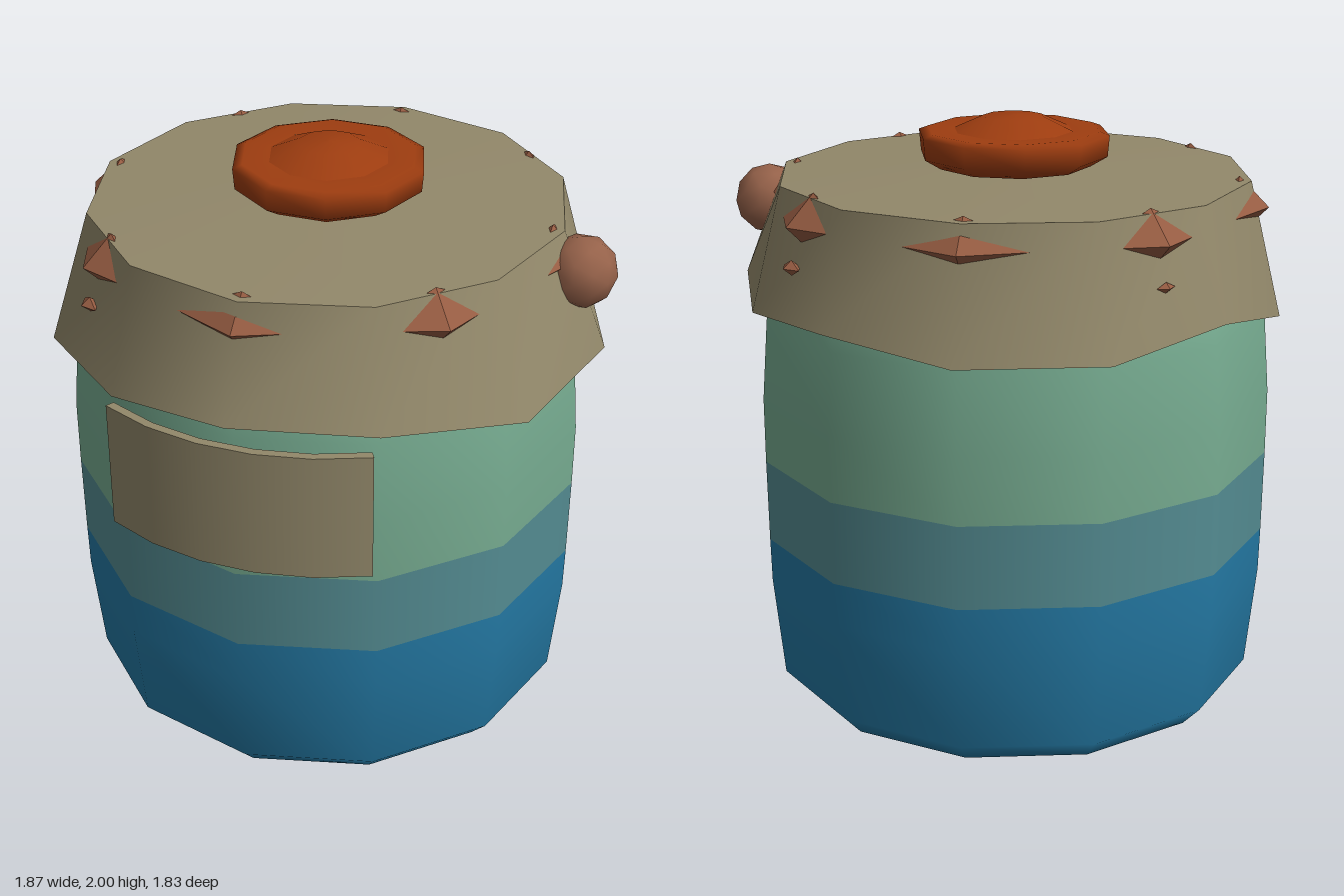
import * as THREE from 'three';
import { toCreasedNormals } from 'three/addons/utils/BufferGeometryUtils.js';

const CX = -0.035, CZ = -0.02; // jar axis

function mat(name, color, side = THREE.FrontSide) {
  const m = new THREE.MeshStandardMaterial({ color, side });
  m.name = name;
  return m;
}

export function createModel() {
  const blue = mat('deep blue glaze', 0x2479a4);
  const teal = mat('teal glaze', 0x548c92);
  const green = mat('sea green glaze', 0x76ab90);
  const tan = mat('tan cloth', 0x92886a, THREE.DoubleSide);
  const rust = mat('rust orange', 0x9e3d10);
  const brown = mat('bead brown', 0x96624a);
  const clay = mat('stud brown', 0x965c42);

  const model = new THREE.Group();
  model.name = 'jar';
  const jar = new THREE.Group();
  jar.name = 'jarParts';
  jar.position.set(CX, 0, CZ);
  model.add(jar);

  const add = (name, geo, material, parent = jar) => {
    const mesh = new THREE.Mesh(geo, material);
    mesh.name = name;
    parent.add(mesh);
    return mesh;
  };
  const lathe = (pts, sides, start = 0, len = Math.PI * 2) =>
    new THREE.LatheGeometry(pts.map(p => new THREE.Vector2(...p)), sides, start, len);

  // Body in three glaze bands
  add('lowerBody', lathe([[0, 0], [0.56, 0.005], [0.765, 0.03], [0.83, 0.1], [0.865, 0.45], [0.868, 0.6]], 12), blue);
  add('middleBand', lathe([[0.868, 0.6], [0.871, 0.88]], 12), teal);
  add('upperBody', lathe([[0.871, 0.88], [0.871, 1.1], [0.85, 1.37], [0.81, 1.52], [0.74, 1.65]], 12), green);

  // Cloth cover: flat top and a flared skirt with an uneven hem
  add('clothTop', lathe([[0.79, 1.81], [0.3, 1.83], [0, 1.832]], 12), tan);
  const hem = [ // x, y, z every 30 degrees, starting at the front
    [-0.03, 1.455, 0.91], [0.42, 1.44, 0.78], [0.785, 1.38, 0.45], [0.91, 1.42, -0.02],
    [0.74, 1.4, -0.47], [0.41, 1.44, -0.8], [-0.03, 1.39, -0.92], [-0.5, 1.4, -0.82],
    [-0.8, 1.45, -0.47], [-0.935, 1.36, -0.02], [-0.84, 1.365, 0.44], [-0.48, 1.385, 0.75],
  ];
  const skirt = new THREE.CylinderGeometry(0.79, 0.93, 0.4, 12, 1, true);
  skirt.translate(0, 1.61, 0);
  for (let i = 0; i <= 12; i++) {
    const [x, y, z] = hem[i % 12];
    skirt.attributes.position.setXYZ(13 + i, x - CX, y, z - CZ);
  }
  add('clothSkirt', toCreasedNormals(skirt, 0.9), tan);

  // Knob: thick rim and a low raised centre
  const knob = new THREE.Group();
  knob.name = 'knob';
  jar.add(knob);
  const turn = Math.PI / 2;
  add('knobRim', lathe([[0, 1.83], [0.26, 1.836], [0.316, 1.87], [0.322, 1.94], [0.29, 1.952], [0.2, 1.95]], 10, turn), rust, knob);
  add('knobCentre', lathe([[0.21, 1.945], [0.1, 1.995], [0, 2]], 10, turn), rust, knob);

  // Curved label: four swept faces and two end caps
  const label = new THREE.Group();
  label.name = 'label';
  jar.add(label);
  const half = 0.494, r0 = 0.9, r1 = 0.93, y0 = 0.945, y1 = 1.38;
  const corners = [[r0, y0], [r1, y0], [r1, y1], [r0, y1]];
  const faceNames = ['labelBottom', 'labelFront', 'labelTop', 'labelBack'];
  corners.forEach((c, i) =>
    add(faceNames[i], lathe([c, corners[(i + 1) % 4]], 5, -half, half * 2), tan, label));
  for (const s of [-1, 1]) {
    const end = add('labelEnd', new THREE.PlaneGeometry(r1 - r0, y1 - y0), tan, label);
    const rm = (r0 + r1) / 2, a = s * half;
    end.position.set(Math.sin(a) * rm, (y0 + y1) / 2, Math.cos(a) * rm);
    end.rotation.y = a - Math.PI / 2;
  }

  // Round bead on the left side of the cloth
  const bead = toCreasedNormals(new THREE.IcosahedronGeometry(0.12, 1), 1.2);
  add('bead', bead, brown).position.set(0.85, 1.68, 0);

  // Pointed studs poking through the cloth
  const stud = (name, angle, r, y, a, b, c) => {
    const mesh = add(name, new THREE.OctahedronGeometry(1), clay);
    mesh.scale.set(a, b, c);
    mesh.position.set(Math.sin(angle) * r, y, Math.cos(angle) * r);
    mesh.rotation.y = angle;
  };
  for (let i = 0; i < 8; i++) {
    stud('stud', i * Math.PI / 4, 0.75, 1.725, 0.22, 0.1, 0.1);
  }
  for (const [k, size] of [[3, 0.05], [5, 0.035], [7, 0.05]]) {
    stud('smallStud', k * Math.PI / 4, 0.835, 1.595, size, size * 0.5, size * 0.6);
  }
  return model;
}
